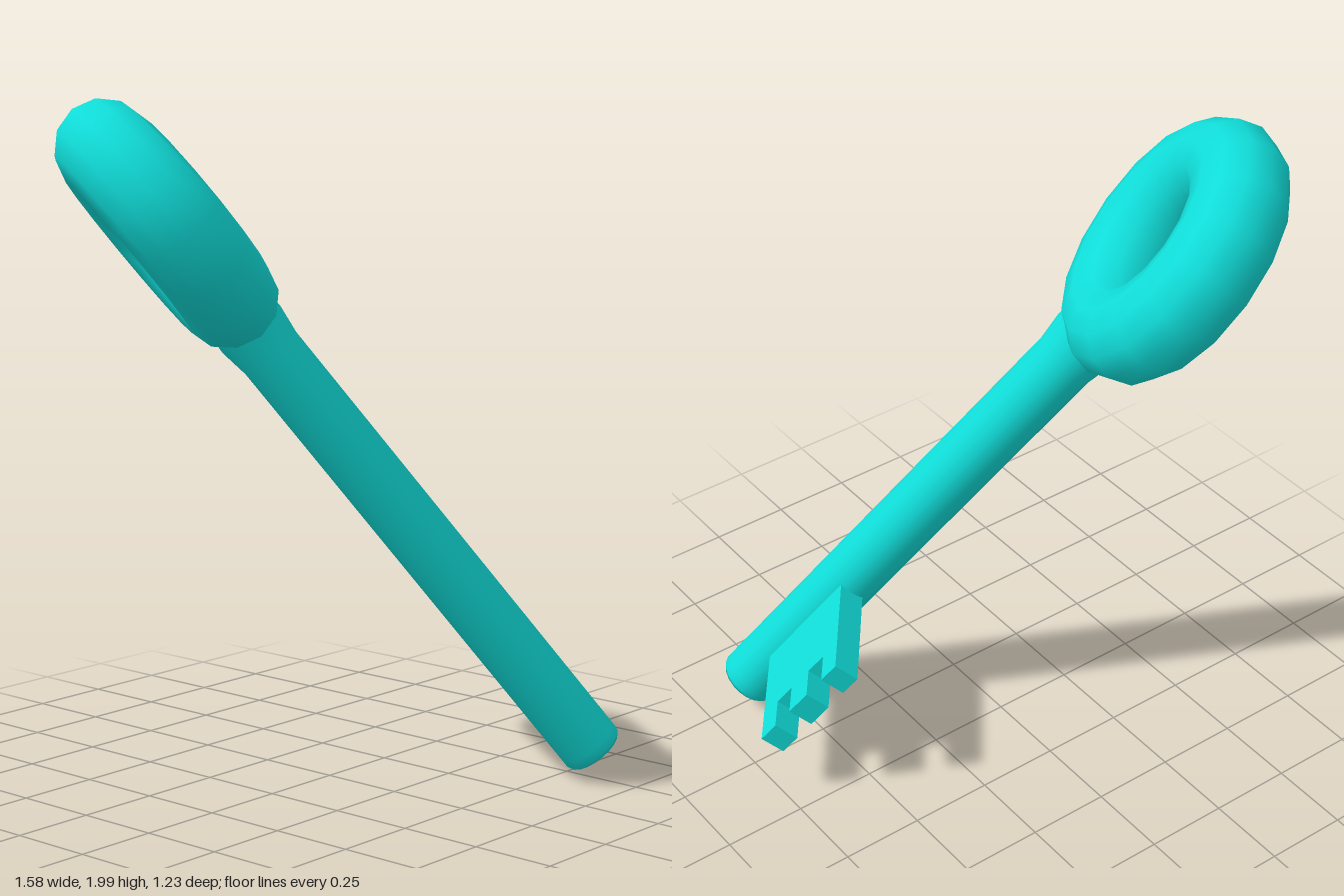
import * as THREE from 'three';

export function createModel() {
  const model = new THREE.Group();
  model.name = 'key';
  const material = new THREE.MeshStandardMaterial({ color: 0x10dcd8 });
  const add = (name, geometry) => {
    const mesh = new THREE.Mesh(geometry, material);
    mesh.name = name;
    model.add(mesh);
    return mesh;
  };

  // Local frame: shaft along +y from its tip, bit towards +x
  const ringCentre = 2.033, ringRadius = 0.278, shaftRadius = 0.094;

  // Ring handle
  add('ringHandle', new THREE.TorusGeometry(ringRadius, 0.138, 12, 16))
    .position.y = ringCentre;

  // Shaft, with a softened tip and a slight flare into the ring
  const shaftProfile = [
    [0, 0], [shaftRadius * 0.92, 0], [shaftRadius, 0.012], [shaftRadius, 0.04],
    [shaftRadius, 1.56], [0.106, 1.65], [0.1, ringCentre - ringRadius],
  ].map(([r, y]) => new THREE.Vector2(r, y));
  add('shaft', new THREE.LatheGeometry(shaftProfile, 20));

  // Bit: a flat plate with three teeth
  const thickness = 0.08, tip = 0.454, notch = 0.35;
  const teeth = [[0.18, 0.25], [0.32, 0.405], [0.477, 0.546]];
  const outline = new THREE.Shape();
  outline.moveTo(0, teeth[0][0]);
  teeth.forEach(([low, high], i) => {
    if (i > 0) outline.lineTo(notch, low);
    outline.lineTo(tip, low);
    outline.lineTo(tip, high);
    if (i < teeth.length - 1) outline.lineTo(notch, high);
  });
  outline.lineTo(0, teeth[teeth.length - 1][1]);
  outline.closePath();
  add('bit', new THREE.ExtrudeGeometry(outline, { depth: thickness, bevelEnabled: false }))
    .position.z = -thickness / 2;

  // Lean the whole key into its slanted pose
  const bitAxis = new THREE.Vector3(0.6, 0, -0.8);
  const shaftAxis = new THREE.Vector3(-0.5, 0.78, -0.375).normalize();
  const faceAxis = new THREE.Vector3().crossVectors(bitAxis, shaftAxis);
  model.quaternion.setFromRotationMatrix(
    new THREE.Matrix4().makeBasis(bitAxis, shaftAxis, faceAxis));
  model.position.set(0.589, 0.059, 0.533);

  const root = new THREE.Group();
  root.name = 'slantedKey';
  root.add(model);
  return root;
}
